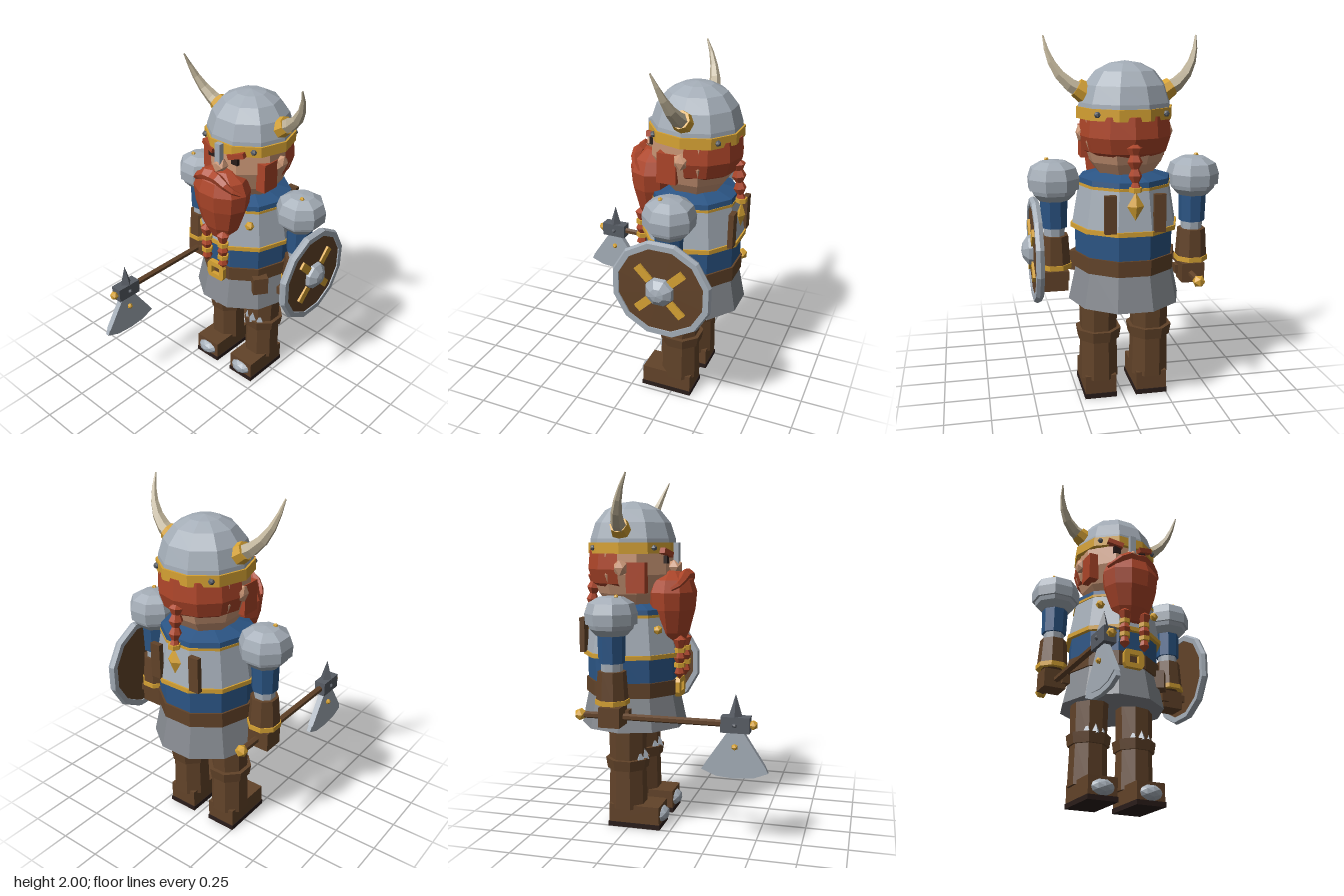
import * as THREE from 'three';

const mat = (name, color) => Object.assign(new THREE.MeshStandardMaterial({ color }), { name });
const M = {
  steel: mat('steel', 0xa4adb7), mail: mat('mail', 0x85898f), iron: mat('iron', 0x585d65),
  gold: mat('gold', 0xd6a233), blue: mat('blue cloth', 0x2b5585), leather: mat('leather', 0x624329),
  dark: mat('dark sole', 0x2a1d1a), red: mat('red hair', 0xac4529), skin: mat('skin', 0xcd9877),
  bone: mat('bone', 0xbcb096),
};

// Faceted mesh: flat normals baked into the geometry
function add(parent, name, geo, material, x = 0, y = 0, z = 0) {
  const g = geo.index ? geo.toNonIndexed() : geo;
  g.computeVertexNormals();
  const m = new THREE.Mesh(g, material);
  m.name = name;
  m.position.set(x, y, z);
  parent.add(m);
  return m;
}
function sub(parent, name, x = 0, y = 0, z = 0) {
  const g = new THREE.Group();
  g.name = name;
  g.position.set(x, y, z);
  parent.add(g);
  return g;
}
// Lathe with a flat facet facing +z; profile runs from bottom to top
const lathe = (pts, n = 10) =>
  new THREE.LatheGeometry(pts.map(p => new THREE.Vector2(...p)), n, Math.PI / n);
const band = (r, y0, y1, n = 10, t = 0.03) =>
  lathe([[r - t, y0], [r, y0], [r, y1], [r - t, y1], [r - t, y0]], n);
const plug = (r0, r1, y0, y1, n = 8) => lathe([[0, y0], [r0, y0], [r1, y1], [0, y1]], n);
const box = (w, h, d) => new THREE.BoxGeometry(w, h, d);
const gem = (r, detail = 0) => new THREE.IcosahedronGeometry(r, detail);

// Tapered tube
function horn(points, r0, r1, sides, steps) {
  const curve = new THREE.CatmullRomCurve3(points.map(p => new THREE.Vector3(...p)));
  const g = new THREE.TubeGeometry(curve, steps, r0, sides);
  const pos = g.attributes.position, v = new THREE.Vector3();
  for (let i = 0; i < pos.count; i++) {
    const t = Math.floor(i / (sides + 1)) / steps, c = curve.getPointAt(t);
    v.fromBufferAttribute(pos, i).sub(c).multiplyScalar(1 + (r1 / r0 - 1) * t).add(c);
    pos.setXYZ(i, v.x, v.y, v.z);
  }
  return g;
}

function buildTorso(b) {
  add(b, 'mailSkirt', lathe([[0, 0.61], [0.3, 0.58], [0.312, 0.58], [0.265, 0.8], [0, 0.8]]), M.mail);
  add(b, 'tunic', plug(0.272, 0.272, 0.78, 1.02, 10), M.blue);
  add(b, 'belt', band(0.283, 0.77, 0.855), M.leather);
  add(b, 'breastplate', plug(0.29, 0.25, 1.0, 1.235, 10), M.steel);
  add(b, 'lowerTrim', band(0.297, 0.99, 1.015), M.gold);
  add(b, 'upperTrim', band(0.257, 1.222, 1.237), M.gold);
  add(b, 'collar', lathe([[0, 1.235], [0.254, 1.235], [0.25, 1.265], [0.13, 1.3], [0, 1.3]]), M.blue);
  // Belt buckle frame and pouch
  const frame = new THREE.Shape([[-0.05, -0.055], [0.05, -0.055], [0.065, -0.03], [0.065, 0.03],
    [0.05, 0.055], [-0.05, 0.055], [-0.065, 0.03], [-0.065, -0.03]].map(p => new THREE.Vector2(...p)));
  frame.holes.push(new THREE.Path([[-0.03, -0.025], [-0.03, 0.025], [0.03, 0.025], [0.03, -0.025]]
    .map(p => new THREE.Vector2(...p))));
  add(b, 'buckle', new THREE.ExtrudeGeometry(frame, { depth: 0.03, bevelEnabled: false }), M.gold, 0, 0.808, 0.265);
  add(b, 'pouch', box(0.09, 0.11, 0.07), M.leather, 0.235, 0.755, 0.16).rotation.y = 0.94;
  for (const s of [-1, 1]) {
    add(b, 'chestStud', gem(0.028), M.gold, s * 0.18, 1.155, 0.2);
    add(b, 'backStrap', box(0.062, 0.2, 0.03), M.leather, s * 0.13, 1.11, -0.265);
  }
}

function buildLeg(b, s) {
  const g = sub(b, s > 0 ? 'leftLeg' : 'rightLeg', s * 0.146, 0, 0.005);
  add(g, 'thigh', plug(0.105, 0.112, 0.36, 0.64), M.leather);
  add(g, 'shin', plug(0.112, 0.106, 0.11, 0.36), M.leather);
  add(g, 'bootCuff', plug(0.12, 0.13, 0.34, 0.402), M.leather);
  for (const i of [-1, 0, 1])
    add(g, 'kneeSpike', new THREE.ConeGeometry(0.03, 0.06, 4), M.steel, i * 0.045, 0.425, 0.1 - Math.abs(i) * 0.015);
  add(g, 'boot', box(0.175, 0.105, 0.3), M.leather, 0, 0.08, 0.06);
  add(g, 'sole', box(0.182, 0.028, 0.31), M.dark, 0, 0.014, 0.06);
  add(g, 'toeCap', gem(1, 1).scale(0.077, 0.05, 0.065), M.steel, 0, 0.072, 0.185);
}

function buildArm(b, s) {
  const g = sub(b, s > 0 ? 'leftArm' : 'rightArm', s * 0.387, 0, 0);
  add(g, 'sleeve', plug(0.072, 0.078, 0.995, 1.2), M.blue);
  add(g, 'wrist', plug(0.058, 0.06, 0.93, 1.0), M.steel);
  add(g, 'bracer', plug(0.09, 0.078, 0.77, 0.95), M.leather);
  add(g, 'bracerTrim', band(0.095, 0.768, 0.795, 8), M.gold);
  add(g, 'hand', box(0.13, 0.11, 0.12), M.leather, 0, 0.7, 0);
  add(g, 'thumb', box(0.045, 0.05, 0.06), M.leather, -s * 0.06, 0.7, 0.05);
  // Shoulder armour: dome over a flared lower plate
  add(g, 'shoulderPlate', lathe([[0, 1.145], [0.085, 1.145], [0.118, 1.18], [0.13, 1.22], [0, 1.24]], 8), M.steel);
  add(g, 'shoulderDome', lathe([[0, 1.205], [0.14, 1.205], [0.144, 1.265], [0.125, 1.32], [0.07, 1.352], [0, 1.36]], 8), M.steel);
  add(g, 'shoulderStud', gem(0.014), M.gold, s * 0.03, 1.355, 0.04);
}

function buildHead(b) {
  const h = sub(b, 'head');
  add(h, 'face', lathe([[0, 1.24], [0.12, 1.24], [0.2, 1.35], [0.242, 1.46], [0.242, 1.62], [0, 1.62]], 8), M.skin);
  add(h, 'nose', gem(0.048).scale(0.9, 1, 1), M.skin, 0, 1.5, 0.25);
  for (const s of [-1, 1]) {
    add(h, 'eye', box(0.044, 0.045, 0.02), M.dark, s * 0.085, 1.545, 0.222);
    add(h, 'eyebrow', box(0.1, 0.03, 0.05), M.red, s * 0.098, 1.583, 0.222).rotation.set(0, s * 0.25, s * 0.28);
    add(h, 'ear', gem(0.05).scale(0.6, 1, 0.9), M.skin, s * 0.235, 1.5, 0);
    add(h, 'sideburn', box(0.06, 0.17, 0.11), M.red, s * 0.2, 1.445, 0.085);
    add(h, 'moustache', horn([[0, 1.45, 0.31], [s * 0.06, 1.455, 0.325], [s * 0.125, 1.41, 0.31], [s * 0.17, 1.38, 0.27]],
      0.04, 0.01, 5, 4), M.red);
    // Beard braid with two clasps
    add(h, 'beardBraid', lathe([[0, 0.86], [0.032, 0.895], [0.022, 0.925], [0.022, 0.955], [0.036, 0.985],
      [0.022, 1.015], [0.022, 1.04], [0.04, 1.09], [0, 1.12]], 6), M.red, s * 0.064, 0, 0.295);
    for (const y of [0.93, 1.015])
      add(h, 'braidClasp', plug(0.034, 0.034, y, y + 0.026, 6), M.gold, s * 0.064, 0, 0.295);
  }
  const beard = lathe([[0, 1.04], [0.075, 1.05], [0.125, 1.13], [0.168, 1.26], [0.18, 1.36],
    [0.15, 1.43], [0.07, 1.475], [0, 1.485]]);
  add(h, 'beard', beard.scale(1, 1, 0.78), M.red, 0, 0, 0.235);
  // Hair wraps the back half of the head
  const back = [[0, 1.38], [0.15, 1.365], [0.225, 1.41], [0.25, 1.49], [0.24, 1.6], [0, 1.61]];
  add(h, 'hair', new THREE.LatheGeometry(back.map(p => new THREE.Vector2(...p)), 6, Math.PI / 2, Math.PI), M.red, 0, 0, -0.015);
  const plait = add(h, 'backBraid', lathe([[0, -0.2], [0.03, -0.17], [0.018, -0.14], [0.036, -0.105],
    [0.02, -0.07], [0.04, -0.035], [0.024, 0], [0.042, 0.035], [0, 0.07]], 6), M.red, 0, 1.41, -0.245);
  plait.rotation.x = 0.13;
  add(h, 'backClasp', plug(0.034, 0.034, 1.225, 1.25, 6), M.gold, 0, 0, -0.27);
  add(h, 'backPendant', new THREE.OctahedronGeometry(1).scale(0.045, 0.075, 0.025), M.gold, 0, 1.15, -0.273);
}

function buildHelmet(b) {
  const h = sub(b, 'helmet');
  add(h, 'dome', lathe([[0.235, 1.6], [0.252, 1.6], [0.247, 1.66], [0.218, 1.75], [0.16, 1.822], [0.085, 1.86], [0, 1.873]]), M.steel);
  add(h, 'rim', band(0.26, 1.578, 1.638), M.gold);
  add(h, 'noseGuard', box(0.04, 0.125, 0.03), M.steel, 0, 1.575, 0.262);
  for (const s of [-1, 1]) {
    for (const t of [-1, 1]) add(h, 'rimStud', gem(0.018), M.iron, s * 0.18, 1.61, t * 0.18);
    add(h, 'hornSocket', new THREE.CylinderGeometry(0.05, 0.06, 0.06, 8), M.gold, s * 0.232, 1.72, 0).rotation.z = -s * 1.0;
    add(h, 'horn', horn([[s * 0.22, 1.71, 0], [s * 0.3, 1.757, 0.008], [s * 0.36, 1.825, 0.03],
      [s * 0.398, 1.91, 0.06], [s * 0.416, 2.0, 0.1]], 0.048, 0.004, 6, 5), M.bone);
  }
}

function buildShield(b) {
  const g = sub(b, 'shield', 0.49, 0.87, 0);
  const turn = geo => geo.rotateZ(-Math.PI / 2);
  add(g, 'shieldRim', turn(lathe([[0.248, -0.018], [0.28, -0.02], [0.29, 0.002], [0.28, 0.022], [0.248, 0.022], [0.248, -0.018]], 12)), M.steel);
  add(g, 'shieldBoard', turn(lathe([[0, -0.012], [0.255, -0.012], [0.255, 0.014], [0, 0.022]], 12)), M.leather);
  add(g, 'shieldBoss', turn(lathe([[0.088, 0.01], [0.078, 0.042], [0.04, 0.07], [0, 0.078]], 8)), M.steel);
  for (let i = 0; i < 4; i++) {
    const arm = sub(g, 'shieldBrace');
    arm.rotation.x = Math.PI / 4 + i * Math.PI / 2;
    add(arm, 'bracePlate', box(0.016, 0.1, 0.046), M.gold, 0.022, 0.132, 0);
  }
  add(g, 'shieldGrip', box(0.06, 0.04, 0.1), M.leather, -0.035, -0.15, 0);
}

function buildAxe(b) {
  const g = sub(b, 'axe', -0.377, 0.695, 0.28);
  add(g, 'handle', new THREE.CylinderGeometry(0.019, 0.019, 0.94, 6).rotateX(Math.PI / 2), M.leather, 0, 0, 0.01);
  add(g, 'pommel', gem(0.036), M.gold, 0, 0, -0.472);
  add(g, 'endCap', gem(0.027), M.gold, 0, 0, 0.497);
  add(g, 'socket', box(0.068, 0.085, 0.155), M.iron, 0, 0, 0.405);
  add(g, 'topSpike', new THREE.ConeGeometry(0.038, 0.125, 4), M.iron, 0, 0.1, 0.403);
  // Blade hangs below the socket, with a bright cutting edge
  const plate = (pts, t) => new THREE.ExtrudeGeometry(new THREE.Shape(pts.map(p => new THREE.Vector2(...p))),
    { depth: t, bevelEnabled: false }).translate(0, 0, -t / 2).rotateY(-Math.PI / 2);
  add(g, 'blade', plate([[0.37, -0.03], [0.24, -0.222], [0.3, -0.255], [0.4, -0.267], [0.5, -0.255], [0.565, -0.222], [0.44, -0.03]], 0.034), M.steel);
  add(g, 'bladeEdge', plate([[0.24, -0.222], [0.22, -0.255], [0.3, -0.287], [0.4, -0.295], [0.5, -0.287], [0.58, -0.255],
    [0.565, -0.222], [0.5, -0.255], [0.4, -0.267], [0.3, -0.255]], 0.024), M.steel);
  for (const s of [-1, 1]) {
    add(g, 'bladeRivet', gem(0.018), M.gold, s * 0.022, -0.12, 0.403);
    add(g, 'socketRivet', gem(0.014), M.iron, s * 0.036, 0, 0.403);
  }
}

export function createModel() {
  const model = new THREE.Group();
  model.name = 'hornedWarrior';
  const b = sub(model, 'body', -0.018, 0, -0.28);
  buildTorso(b);
  for (const s of [-1, 1]) {
    buildLeg(b, s);
    buildArm(b, s);
  }
  buildHead(b);
  buildHelmet(b);
  buildShield(b);
  buildAxe(b);
  return model;
}
